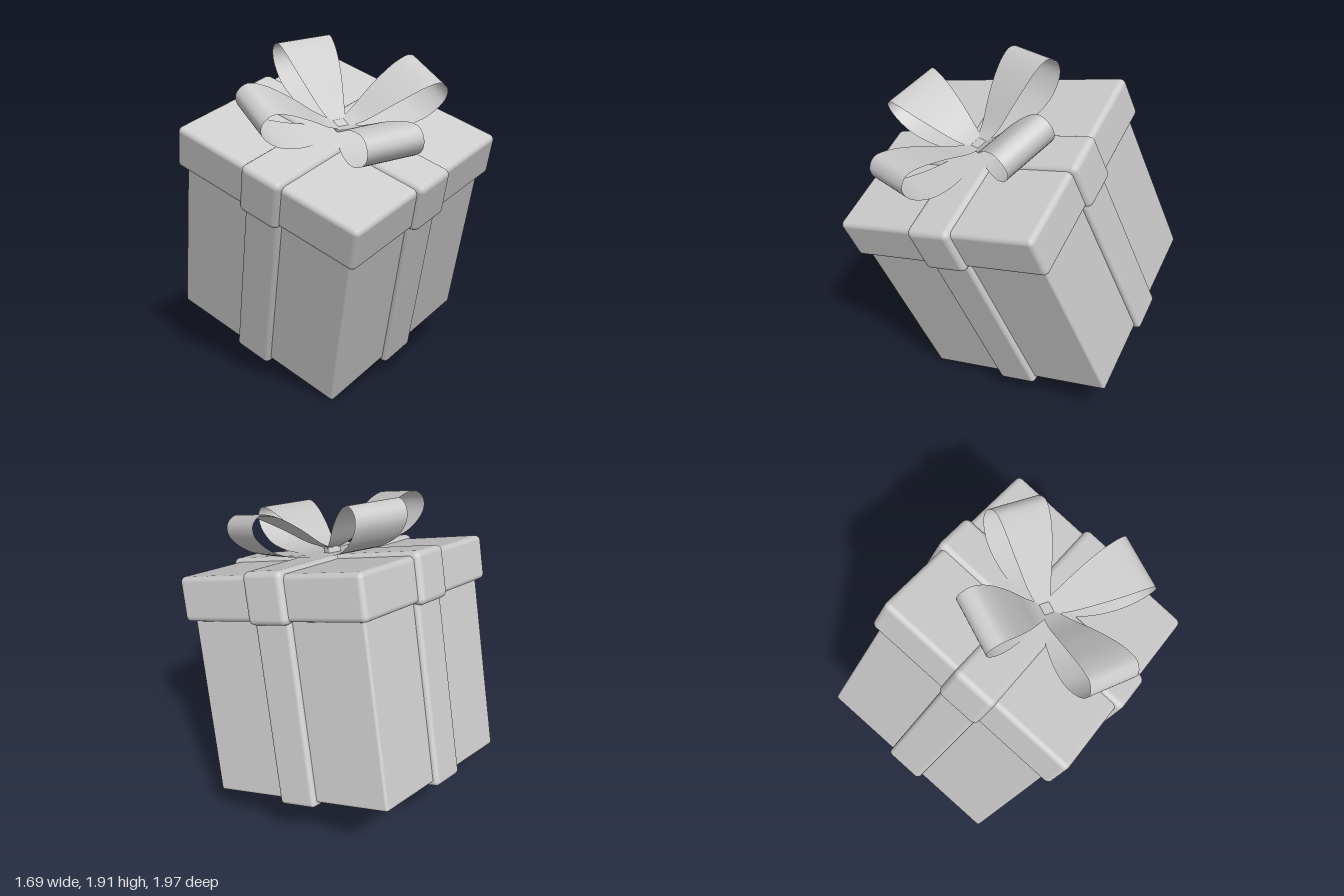
import * as THREE from 'three';
import { RoundedBoxGeometry } from 'three/addons/geometries/RoundedBoxGeometry.js';

const material = new THREE.MeshStandardMaterial({ color: 0xcccccc });
const ribbonMaterial = new THREE.MeshStandardMaterial({ color: 0xcccccc, side: THREE.DoubleSide });

// Rounded block standing on height y0
function block(name, w, h, d, y0, radius) {
  const mesh = new THREE.Mesh(new RoundedBoxGeometry(w, h, d, 4, radius), material);
  mesh.name = name;
  mesh.position.y = y0 + h / 2;
  return mesh;
}

// Ribbon loop: a strip that follows a teardrop profile along +x and widens outwards
function loopGeometry() {
  const profile = new THREE.CatmullRomCurve3([
    [0, 0.02], [0.2, 0.025], [0.33, 0.05], [0.45, 0.1], [0.535, 0.185], [0.54, 0.25],
    [0.49, 0.295], [0.41, 0.28], [0.25, 0.19], [0.1, 0.085], [0, 0.04],
  ].map(([r, h]) => new THREE.Vector3(r, h, 0)));
  const geometry = new THREE.PlaneGeometry(1, 1, 56, 4);
  const pos = geometry.attributes.position;
  for (let i = 0; i < pos.count; i++) {
    const p = profile.getPoint(pos.getX(i) + 0.5);
    const width = 0.07 + 0.25 * Math.sin(Math.min(p.x / 0.54, 1) * Math.PI / 2);
    pos.setXYZ(i, p.x, p.y, -pos.getY(i) * width);
  }
  geometry.computeVertexNormals();
  return geometry;
}

export function createModel() {
  const model = new THREE.Group();
  model.name = 'giftBox';

  // The whole present leans forward and is turned on its corner
  const present = new THREE.Group();
  present.name = 'present';
  present.rotation.set(0.395, 0.651, 0);
  present.position.set(0, 0.307, -0.265);
  model.add(present);

  // Box and lid
  present.add(block('body', 1.14, 1.08, 1.14, 0, 0.016));
  present.add(block('lid', 1.22, 0.25, 1.22, 0.99, 0.03));

  // Crossed ribbons around the body and the lid
  for (const turn of [0, Math.PI / 2]) {
    const bodyRibbon = block('bodyRibbon', 1.2, 1.12, 0.235, -0.025, 0.025);
    const lidRibbon = block('lidRibbon', 1.28, 0.285, 0.26, 0.977, 0.035);
    bodyRibbon.rotation.y = lidRibbon.rotation.y = turn;
    present.add(bodyRibbon, lidRibbon);
  }

  // Bow of four loops around a knot
  const bow = new THREE.Group();
  bow.name = 'bow';
  bow.position.y = 1.24;
  bow.rotation.y = -0.405;
  const geometry = loopGeometry();
  for (let i = 0; i < 4; i++) {
    const loop = new THREE.Mesh(geometry, ribbonMaterial);
    loop.name = 'bowLoop';
    loop.rotation.y = i * Math.PI / 2;
    bow.add(loop);
  }
  bow.add(block('knot', 0.075, 0.045, 0.075, 0.01, 0.012));
  present.add(bow);

  return model;
}
